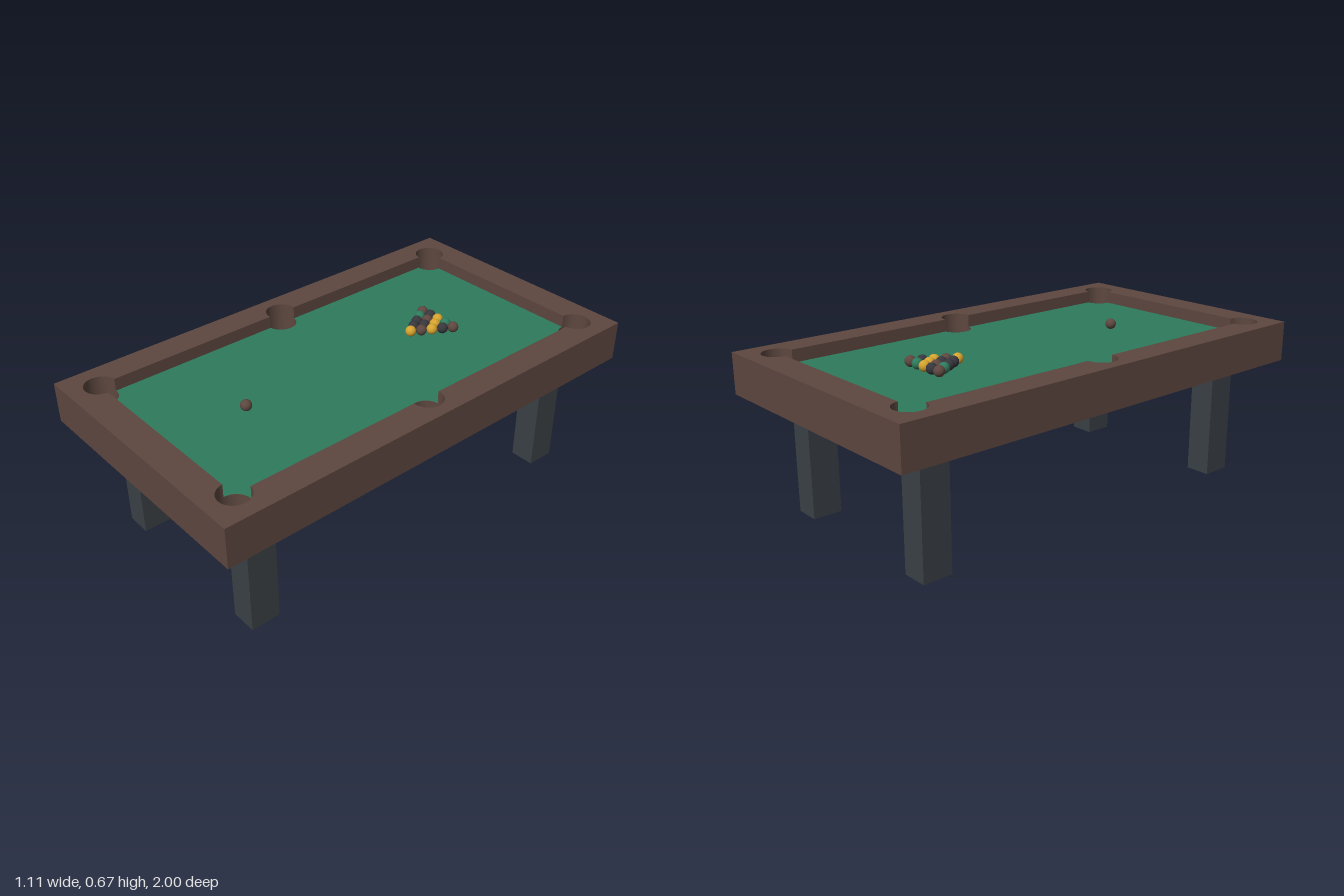
import * as THREE from 'three';

const W = 0.557, L = 1, BOTTOM = 0.497, BED = 0.613, TOP = 0.667;
const IX = 0.436, IZ = 0.875;      // half size of the playing field
const R = 0.0635;                  // pocket radius
const CX = 0.432, CZ = 0.873, SX = 0.443;

const mat = (name, color, extra = {}) => {
  const m = new THREE.MeshStandardMaterial({ color, ...extra });
  m.name = name;
  return m;
};

// Field outline with arcs at the six pockets: bulging outwards (rails) or cut inwards (cloth)
function fieldOutline(target, cutIn) {
  const reach = (d) => Math.sqrt(R * R - d * d);
  const hv = reach(IX - CX), hh = reach(IZ - CZ), hs = reach(IX - SX);
  const side = (s) => [s * SX, 0, [s * (IX - SX), -s * hs], [s * (IX - SX), s * hs]];
  const corner = (sx, sz) => {
    const ends = [[sx * (IX - CX), -sz * hv], [-sx * hh, sz * (IZ - CZ)]];
    if (sx * sz < 0) ends.reverse();
    return [sx * CX, sz * CZ, ...ends];
  };
  const stops = [side(1), corner(1, 1), corner(-1, 1), side(-1), corner(-1, -1), corner(1, -1)];
  stops.forEach(([x, y, a, b], i) => {
    if (i === 0) target.moveTo(x + a[0], y + a[1]);
    else target.lineTo(x + a[0], y + a[1]);
    target.absarc(x, y, R, Math.atan2(a[1], a[0]), Math.atan2(b[1], b[0]), cutIn);
  });
  target.closePath();
  return target;
}

function tableRect() {
  return new THREE.Shape([[-W, -L], [W, -L], [W, L], [-W, L]].map((p) => new THREE.Vector2(...p)));
}

// Extrude a plan shape upwards from y0 to y1
function slab(shape, y0, y1) {
  return new THREE.ExtrudeGeometry(shape, { depth: y1 - y0, bevelEnabled: false, curveSegments: 28 })
    .rotateX(-Math.PI / 2).translate(0, y0, 0);
}

export function createModel() {
  const wood = mat('wood brown', 0x5d473f);
  const felt = mat('felt green', 0x2e7a5c, { side: THREE.DoubleSide });
  const steel = mat('leg grey', 0x3a4045);
  const gold = mat('ball gold', 0xd4a22e);
  const black = mat('ball black', 0x36363c);

  const table = new THREE.Group();
  table.name = 'poolTable';
  const add = (name, geometry, material, parent = table) => {
    const mesh = new THREE.Mesh(geometry, material);
    mesh.name = name;
    parent.add(mesh);
    return mesh;
  };

  // Bed with six pocket holes through it
  const bed = tableRect();
  const pockets = [[SX, 0], [-SX, 0], [CX, CZ], [-CX, CZ], [CX, -CZ], [-CX, -CZ]];
  for (const [x, z] of pockets) bed.holes.push(new THREE.Path().absarc(x, z, R, 0, Math.PI * 2, true));
  add('bed', slab(bed, BOTTOM, BED), wood);

  // Raised rails around the field
  const rails = tableRect();
  rails.holes.push(fieldOutline(new THREE.Path(), false));
  add('rails', slab(rails, BED, TOP), wood);

  // Cloth sheet lying on the bed
  const cloth = new THREE.ShapeGeometry(fieldOutline(new THREE.Shape(), true), 28);
  add('cloth', cloth.rotateX(-Math.PI / 2).translate(0, BED + 0.001, 0), felt);

  // Legs
  const legGeometry = new THREE.BoxGeometry(0.109, BOTTOM, 0.125);
  for (const sx of [-1, 1]) for (const sz of [-1, 1]) {
    add('leg', legGeometry, steel).position.set(sx * 0.3655, BOTTOM / 2, sz * 0.771);
  }

  // Racked balls, from the tip to the back row, and the cue ball
  const balls = new THREE.Group();
  balls.name = 'balls';
  table.add(balls);
  const r = 0.0228;
  const ballGeometry = new THREE.SphereGeometry(r, 24, 16);
  const colours = { Y: gold, K: black, B: wood, G: felt };
  ['Y', 'KB', 'KKY', 'GBYK', 'BKYGB'].forEach((row, i) => {
    [...row].forEach((c, j) => {
      add('rackedBall', ballGeometry, colours[c], balls)
        .position.set((j - i / 2) * 2 * r, BED + r, -0.339 - i * r * Math.sqrt(3));
    });
  });
  add('cueBall', ballGeometry, wood, balls).position.set(0, BED + r, 0.51);

  return table;
}
